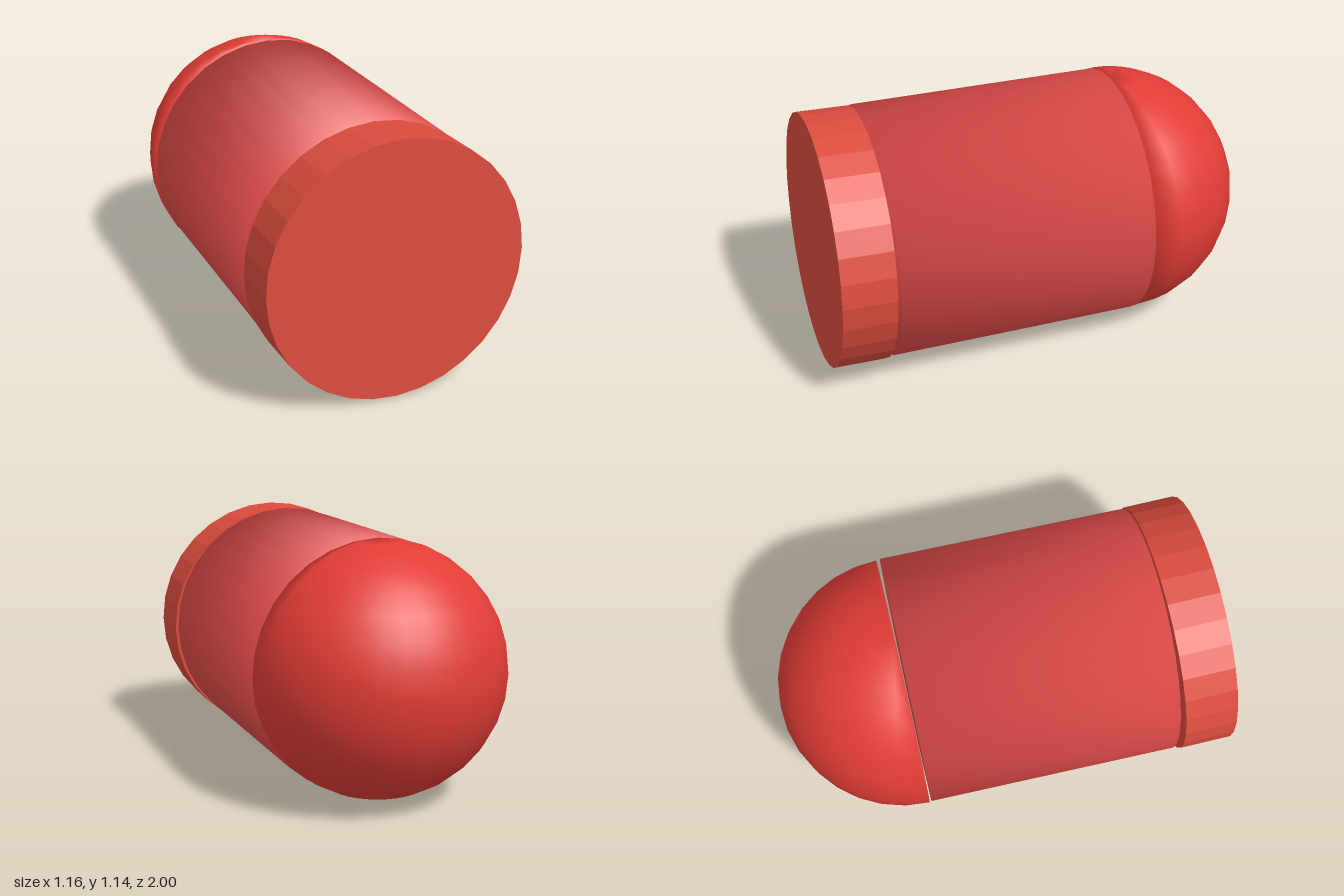
import * as THREE from 'three';
import { mergeGeometries } from 'three/addons/utils/BufferGeometryUtils.js';

const SIDES = 32;
const R = 0.569;

// Blend the normals around a flat end with those of the wall beside it.
function softenRim(geometry, endZ, direction) {
  const p = geometry.attributes.position;
  const n = geometry.attributes.normal;
  const v = new THREE.Vector3();
  for (let i = 0; i < p.count; i++) {
    v.fromBufferAttribute(p, i);
    if (Math.abs(v.z - endZ) > 1e-4 || Math.hypot(v.x, v.y) < R * 0.99) continue;
    v.set(v.x / R, v.y / R, direction).normalize();
    n.setXYZ(i, v.x, v.y, v.z);
  }
}

function cylinderAlongZ(length) {
  return new THREE.CylinderGeometry(R, R, length, SIDES).rotateX(Math.PI / 2);
}

function addPart(group, name, geometry, color, flatShading = false) {
  const material = new THREE.MeshStandardMaterial({ color, flatShading });
  const mesh = new THREE.Mesh(geometry, material);
  mesh.name = name;
  group.add(mesh);
  return mesh;
}

export function createModel() {
  const group = new THREE.Group();
  group.name = 'capsule';

  // Faceted disc at the front, leaning slightly back
  const disc = addPart(group, 'frontDisc', cylinderAlongZ(0.235), 0xdb4c3d, true);
  disc.position.set(0, 0.573, 0.867);
  disc.rotation.x = -0.03;
  disc.scale.x = 1.014;

  // Smooth middle barrel, turned a touch sideways
  const length = 1.14;
  const barrel = cylinderAlongZ(length);
  softenRim(barrel, length / 2, 1);
  softenRim(barrel, -length / 2, -1);
  const body = addPart(group, 'barrel', barrel, 0xdc4a48);
  body.position.set(0.005, 0.574, 0.153);
  body.rotation.y = -0.008;

  // Half sphere at the back, poles up and down, closed by a flat face
  const dome = mergeGeometries([
    new THREE.SphereGeometry(R, SIDES / 2, SIDES / 2, Math.PI, Math.PI),
    new THREE.CircleGeometry(R, SIDES),
  ]);
  softenRim(dome, 0, 1);
  addPart(group, 'backDome', dome, 0xe23c36).position.set(0.005, 0.575, -0.431);

  return group;
}
